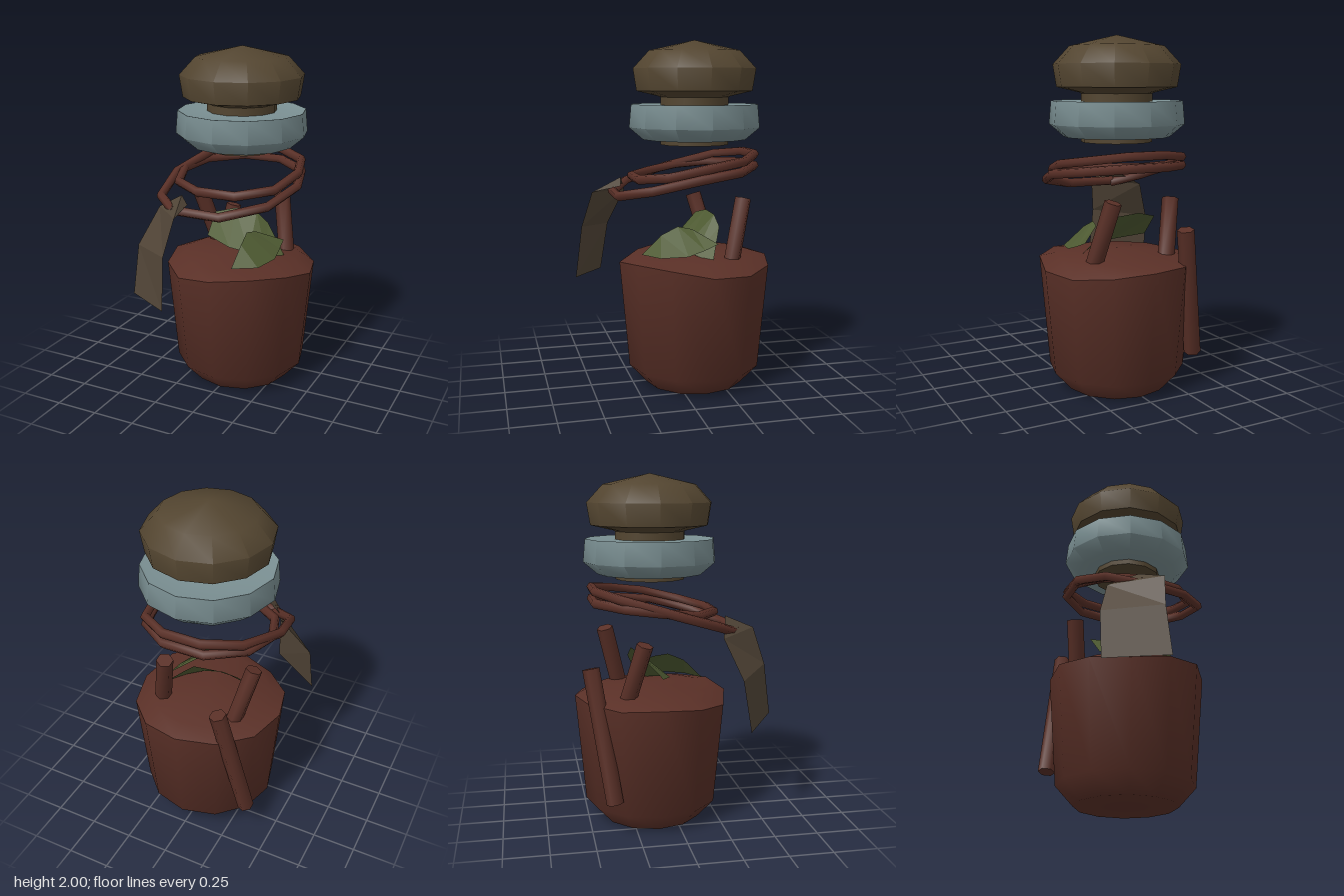
import * as THREE from 'three';
import { toCreasedNormals } from 'three/addons/utils/BufferGeometryUtils.js';

const paint = (name, color, side = THREE.FrontSide) => {
  const m = new THREE.MeshStandardMaterial({ color, side });
  m.name = name;
  return m;
};

export function createModel() {
  const red = paint('dark red', 0x5a3027);
  const brown = paint('cork brown', 0x534530);
  const blue = paint('pale blue', 0x7b9093);
  const green = paint('leaf green', 0x4e5a32, THREE.DoubleSide);
  const tan = paint('paper brown', 0x514537, THREE.DoubleSide);

  const group = new THREE.Group();
  const add = (name, geometry, material) => {
    const mesh = new THREE.Mesh(geometry, material);
    mesh.name = name;
    group.add(mesh);
    return mesh;
  };

  // Turned parts share one twelve-sided axis
  const turn = (profile) => new THREE.LatheGeometry(profile.map(([r, y]) => new THREE.Vector2(r, y)), 12);
  const addTurned = (name, geometry, material) => {
    add(name, toCreasedNormals(geometry, 0.95), material).position.set(0.01, 0, -0.12);
  };

  // Contents: tapered, chamfered base, uneven rim and low mound
  const contents = turn([[0, 0], [0.29, 0], [0.39, 0.11], [0.445, 0.72], [0.35, 0.77], [0, 0.8]]);
  const rim = [0.735, 0.76, 0.75, 0.71, 0.7, 0.72, 0.74, 0.74, 0.73, 0.74, 0.72, 0.7];
  for (let i = 0; i <= 12; i++) contents.attributes.position.setY(i * 6 + 3, rim[i % 12]);
  addTurned('contents', contents, red);

  // Stopper with a neck that passes through the collar
  addTurned('stopper', turn([
    [0, 1.395], [0.2, 1.41], [0.2, 1.68], [0.21, 1.685],
    [0.338, 1.715], [0.358, 1.84], [0.265, 1.94], [0, 2],
  ]), brown);
  addTurned('collar', turn([
    [0.19, 1.44], [0.3, 1.44], [0.382, 1.51], [0.37, 1.64], [0.355, 1.635], [0.19, 1.635],
  ]), blue);

  // Sticks: upper end, lower end
  const up = new THREE.Vector3(0, 1, 0);
  for (const [top, bottom] of [
    [[-0.3, 1.08, -0.2], [-0.22, 0.74, -0.29]],
    [[0.165, 1.105, -0.37], [0.24, 0.74, -0.28]],
    [[-0.22, 0.945, -0.49], [-0.35, 0.2, -0.38]],
  ]) {
    const a = new THREE.Vector3(...top), b = new THREE.Vector3(...bottom);
    const rod = new THREE.CylinderGeometry(0.048, 0.048, a.distanceTo(b), 6);
    const stick = add('stick', toCreasedNormals(rod, 1.1), red);
    stick.position.copy(a).add(b).multiplyScalar(0.5);
    stick.quaternion.setFromUnitVectors(up, a.sub(b).normalize());
  }

  // Cord: two tilted loops, straight between its knots
  const knots = [
    [-0.2, 1.13, 0.33], [0.09, 1.13, 0.34], [0.31, 1.18, 0.19], [0.38, 1.24, -0.06],
    [0.31, 1.27, -0.31], [0.12, 1.29, -0.45], [-0.12, 1.29, -0.45], [-0.31, 1.28, -0.3],
    [-0.36, 1.26, -0.1], [-0.29, 1.23, 0.1], [-0.1, 1.225, 0.23], [0.13, 1.225, 0.23],
    [0.31, 1.25, 0.1], [0.36, 1.3, -0.12], [0.3, 1.33, -0.33], [0.12, 1.355, -0.45],
    [-0.1, 1.355, -0.45], [-0.29, 1.33, -0.33], [-0.38, 1.25, -0.04], [-0.34, 1.17, 0.22],
    [-0.19, 1.12, 0.33],
  ].map((p) => new THREE.Vector3(...p));
  const cord = new THREE.CatmullRomCurve3(knots);
  cord.getUtoTmapping = (u) => u;
  add('cord', new THREE.TubeGeometry(cord, knots.length - 1, 0.027, 6), red);

  // Thin bent sheets, made from rows of left and right edge points
  const sheet = (rows) => {
    const v = [];
    for (let i = 0; i + 1 < rows.length; i++) {
      const [a, b] = rows[i], [c, d] = rows[i + 1];
      v.push(...a, ...b, ...c, ...b, ...d, ...c);
    }
    const g = new THREE.BufferGeometry();
    g.setAttribute('position', new THREE.Float32BufferAttribute(v, 3));
    g.computeVertexNormals();
    return g;
  };

  // Hanging tag
  add('tag', sheet([
    [[-0.455, 0.6, 0.365], [-0.15, 0.62, 0.56]],
    [[-0.44, 0.89, 0.32], [-0.16, 0.92, 0.52]],
    [[-0.345, 1.11, 0.23], [-0.12, 1.13, 0.46]],
    [[-0.17, 1.21, 0.28], [-0.13, 1.16, 0.29]],
  ]), tan);

  // Leaves
  add('backLeaf', sheet([
    [[-0.2, 0.86, -0.08], [-0.2, 0.98, -0.19]],
    [[-0.02, 0.83, -0.01], [-0.08, 1.01, -0.22]],
    [[0.1, 0.81, -0.03], [0.06, 1.0, -0.23]],
    [[0.19, 0.79, -0.08], [0.13, 0.94, -0.24]],
    [[0.28, 0.765, -0.16], [0.28, 0.765, -0.16]],
  ]), green);
  add('frontLeaf', sheet([
    [[0.1, 0.79, 0.21], [0.1, 0.79, 0.21]],
    [[0.23, 0.79, 0.13], [0.11, 0.9, 0.1]],
    [[0.27, 0.8, -0.02], [0.1, 0.945, 0]],
    [[0.26, 0.83, -0.12], [0.12, 0.93, -0.08]],
    [[0.25, 0.86, -0.2], [0.25, 0.86, -0.2]],
  ]), green);

  return group;
}
